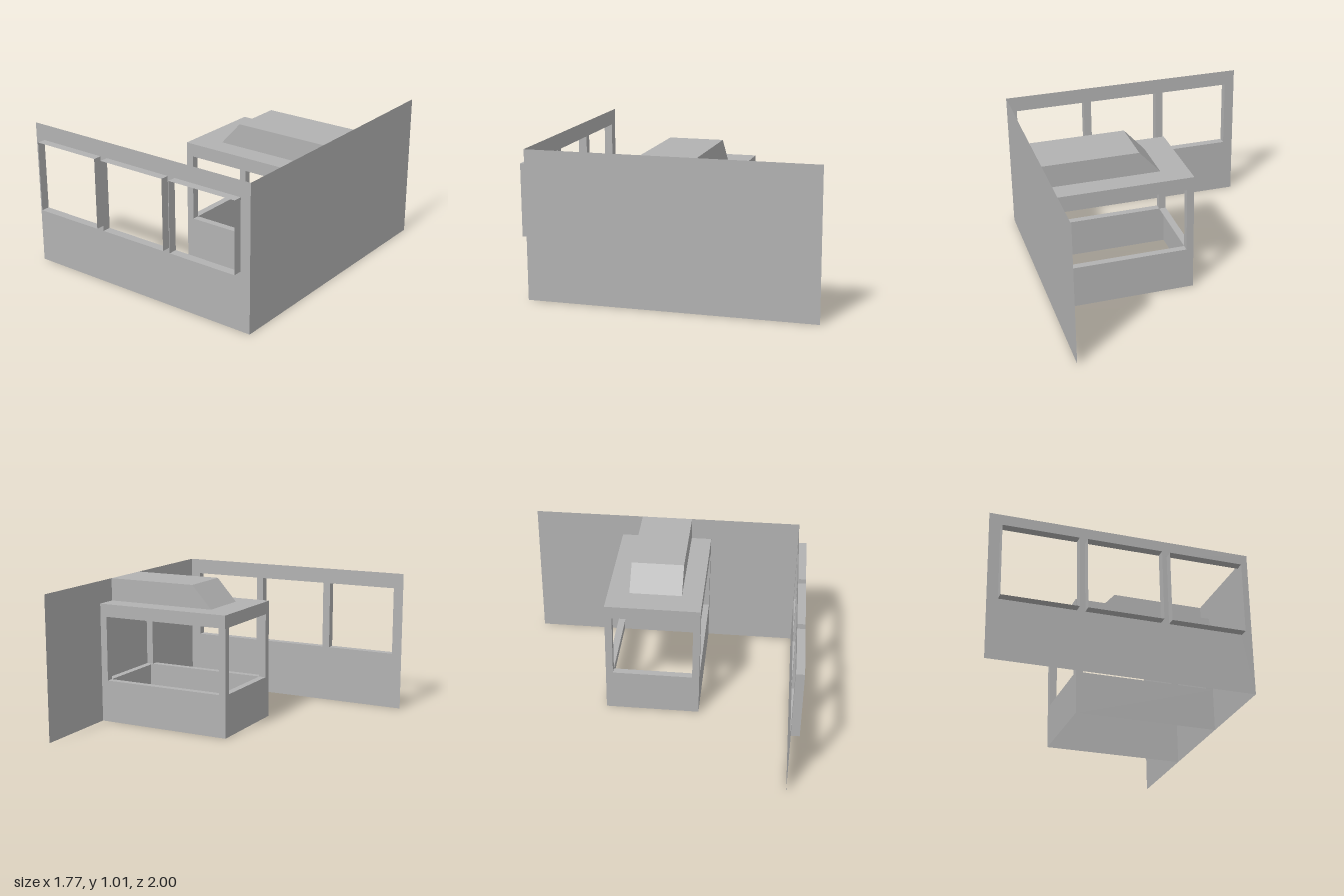
import * as THREE from 'three';

export function createModel() {
  const model = new THREE.Group();
  const plaster = new THREE.MeshStandardMaterial({ color: 0xb2b2b2, side: THREE.DoubleSide });
  plaster.name = 'grey plaster';

  const add = (parent, name, geometry, x = 0, y = 0, z = 0) => {
    const mesh = new THREE.Mesh(geometry, plaster);
    mesh.name = name;
    mesh.position.set(x, y, z);
    parent.add(mesh);
    return mesh;
  };
  const group = (name) => {
    const g = new THREE.Group();
    g.name = name;
    model.add(g);
    return g;
  };
  // Flat rectangle with rectangular holes, each given as [x0, y0, x1, y1]
  const corners = ([x0, y0, x1, y1]) =>
    [[x0, y0], [x1, y0], [x1, y1], [x0, y1]].map(([x, y]) => new THREE.Vector2(x, y));
  const sheet = (outer, holes = []) => {
    const shape = new THREE.Shape(corners(outer));
    holes.forEach((h) => shape.holes.push(new THREE.Path(corners(h))));
    return new THREE.ShapeGeometry(shape);
  };

  const W = 0.885, H = 1.01, FRONT = 0.94;

  // Front wall with three windows, each with an outward sleeve
  const frontWall = group('frontWall');
  const y0 = 0.41, y1 = 0.9, depth = 0.06, half = 0.2525;
  const centres = [-0.56, 0, 0.56];
  add(frontWall, 'frontPanel',
    sheet([-W, 0, W, H], centres.map((c) => [c - half, y0, c + half, y1])), 0, 0, FRONT);
  centres.forEach((c) => {
    const z = FRONT + depth / 2;
    for (const side of [-1, 1]) {
      add(frontWall, 'windowJamb', new THREE.PlaneGeometry(depth, y1 - y0),
        c + side * half, (y0 + y1) / 2, z).rotation.y = side * Math.PI / 2;
      add(frontWall, 'windowSill', new THREE.PlaneGeometry(half * 2, depth),
        c, side > 0 ? y1 : y0, z).rotation.x = -side * Math.PI / 2;
    }
  });

  // Long side wall
  add(model, 'sideWall', new THREE.PlaneGeometry(FRONT + 1, H), W, H / 2, (FRONT - 1) / 2)
    .rotation.y = Math.PI / 2;

  // Booth: thin lower walls, ledge ring, corner posts and roof slab
  const booth = group('booth');
  const bx0 = -0.11, bx1 = W, bz0 = -0.36, bz1 = 0.3;
  const sill = 0.3, head = 0.76, top = 0.85, t = 0.05;
  const bw = bx1 - bx0, bd = bz1 - bz0, cx = (bx0 + bx1) / 2, cz = (bz0 + bz1) / 2;

  add(booth, 'lowerFrontWall', new THREE.PlaneGeometry(bw, sill), cx, sill / 2, bz1);
  add(booth, 'lowerBackWall', new THREE.PlaneGeometry(bw, sill), cx, sill / 2, bz0).rotation.y = Math.PI;
  add(booth, 'lowerEndWall', new THREE.PlaneGeometry(bd, sill), bx0, sill / 2, cz).rotation.y = -Math.PI / 2;

  add(booth, 'ledge', sheet([-bw / 2, -bd / 2, bw / 2, bd / 2],
    [[-bw / 2 + t, -bd / 2 + t, bw / 2 - t, bd / 2 - t]]), cx, sill, cz).rotation.x = -Math.PI / 2;

  for (const x of [bx0 + t / 2, bx1 - t / 2]) {
    for (const z of [bz0 + t / 2, bz1 - t / 2]) {
      add(booth, 'cornerPost', new THREE.BoxGeometry(t, head - sill, t), x, (sill + head) / 2, z);
    }
  }
  add(booth, 'roofSlab', new THREE.BoxGeometry(bw, top - head, bd), cx, (top + head) / 2, cz);

  // Duct on the roof with a sloping end
  const duct = new THREE.Shape([[0.08, top], [W, top], [W, H], [0.225, H]]
    .map(([x, y]) => new THREE.Vector2(x, y)));
  add(model, 'roofDuct',
    new THREE.ExtrudeGeometry(duct, { depth: 0.365, bevelEnabled: false }), 0, 0, -0.21);

  return model;
}
